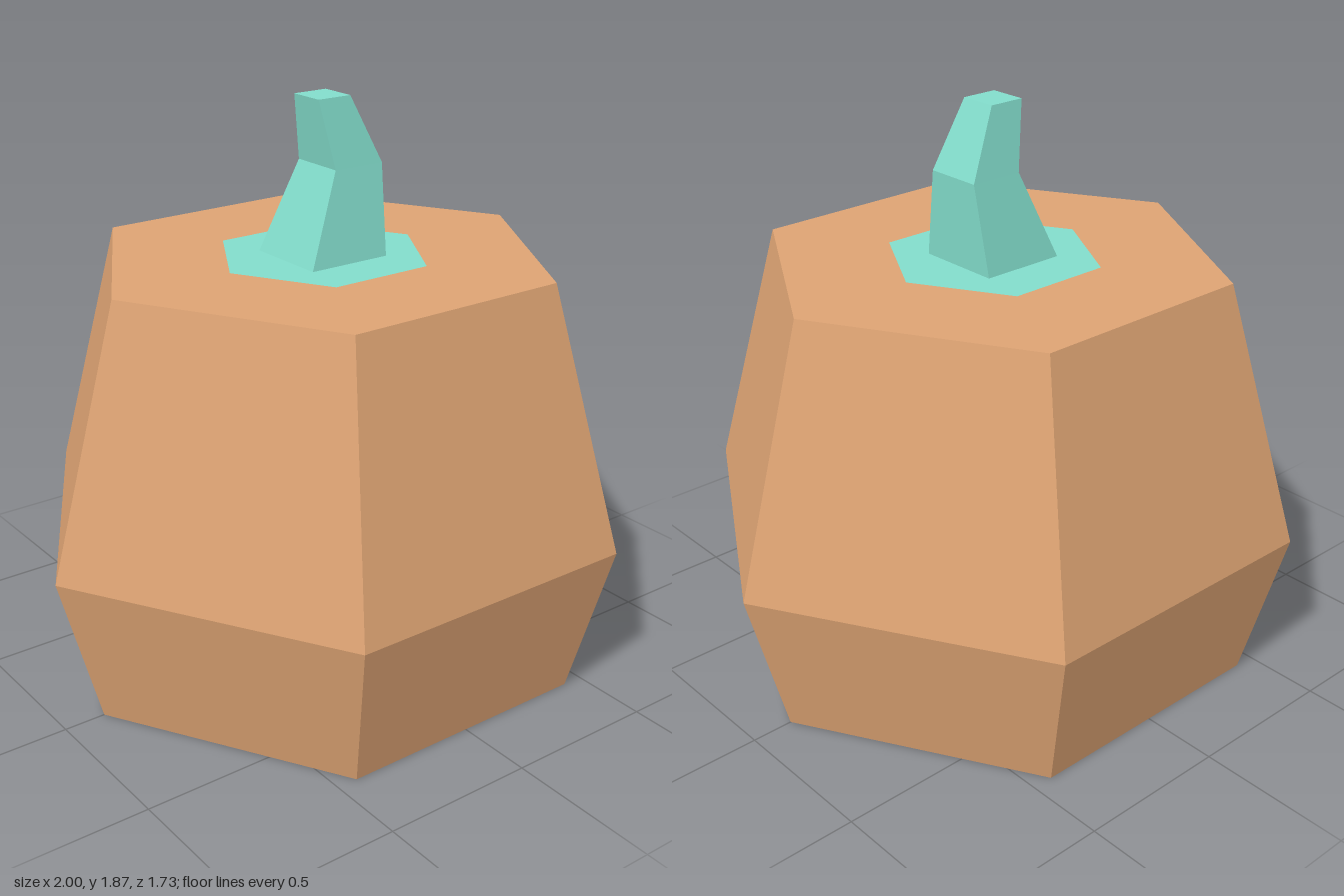
import * as THREE from 'three';

const TOP = 1.365;

// Split all faces so every facet is flat
function faceted(geometry) {
  const flat = geometry.toNonIndexed();
  flat.computeVertexNormals();
  return flat;
}

function part(name, geometry, material) {
  const mesh = new THREE.Mesh(faceted(geometry), material);
  mesh.name = name;
  return mesh;
}

export function createModel() {
  const group = new THREE.Group();
  group.name = 'pumpkin';
  const skin = new THREE.MeshStandardMaterial({ name: 'pumpkinSkin', color: 0xdda373, flatShading: true });
  const green = new THREE.MeshStandardMaterial({ name: 'stemGreen', color: 0x82dccb, flatShading: true });

  // Six-sided body, closed at both ends
  const profile = [[0, 0], [0.863, 0], [1, 0.508], [0.76, TOP], [0, TOP]]
    .map(([r, y]) => new THREE.Vector2(r, y));
  group.add(part('body', new THREE.LatheGeometry(profile, 6, Math.PI / 6), skin));

  // Hexagonal patch lying on the top face
  const patch = new THREE.CircleGeometry(0.35, 6);
  patch.rotateX(-Math.PI / 2).translate(0, TOP + 0.002, 0);
  group.add(part('stemPatch', patch, green));

  // Bent, tapering square stem: each ring is y, centre x, half width, half depth
  const rings = [
    [TOP, 0, 0.143, 0.143],
    [1.655, 0.07, 0.09, 0.095],
    [1.87, 0, 0.06, 0.062],
  ];
  const stem = new THREE.BoxGeometry(2, 2, 2, 1, 2, 1);
  const pos = stem.attributes.position;
  for (let i = 0; i < pos.count; i++) {
    const [y, cx, w, d] = rings[Math.round(pos.getY(i)) + 1];
    pos.setXYZ(i, cx + pos.getX(i) * w, y, pos.getZ(i) * d);
  }
  group.add(part('stem', stem, green));

  return group;
}
